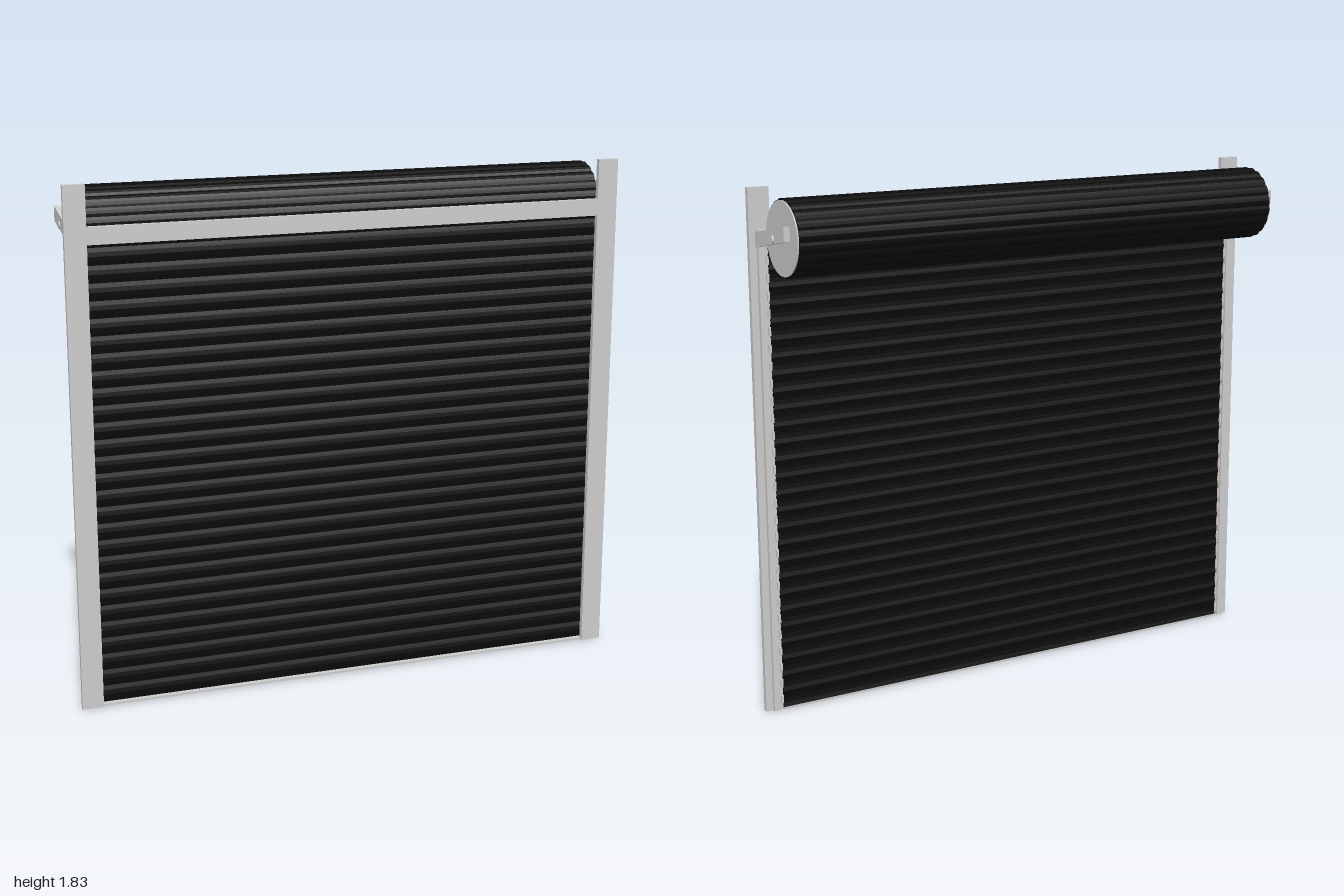
import * as THREE from 'three';

const grey = new THREE.MeshStandardMaterial({ color: 0xcccccc });
const black = new THREE.MeshStandardMaterial({ color: 0x0b0b0b });

const DRUM = { y: 1.676, z: -0.016, r: 0.13 };

// Box given by its minimum and maximum corners
function box(name, [x0, y0, z0], [x1, y1, z1]) {
  const mesh = new THREE.Mesh(new THREE.BoxGeometry(x1 - x0, y1 - y0, z1 - z0), grey);
  mesh.position.set((x0 + x1) / 2, (y0 + y1) / 2, (z0 + z1) / 2);
  mesh.name = name;
  return mesh;
}

// Side profile of [z, y] points, extruded along x from x0 to x1
function extrudeX(name, points, x0, x1, material) {
  const shape = new THREE.Shape(points.map(([z, y]) => new THREE.Vector2(-z, y)));
  const geo = new THREE.ExtrudeGeometry(shape, { depth: x1 - x0, bevelEnabled: false });
  geo.rotateY(Math.PI / 2);
  geo.translate(x0, 0, 0);
  const mesh = new THREE.Mesh(geo, material);
  mesh.name = name;
  return mesh;
}

// Hanging curtain of shallow curved slats
function makeCurtain() {
  const group = new THREE.Group();
  group.name = 'curtain';
  const slats = 28, steps = 4, bottom = 0.008, pitch = (DRUM.y - bottom) / slats;
  const front = [], back = [];
  for (let i = 0; i <= slats * steps; i++) {
    const y = bottom + (i / steps) * pitch;
    const bulge = 0.006 * Math.sin(((i % steps) / steps) * Math.PI);
    front.push([0.121 + bulge, y]);
    back.push([0.116 + bulge, y]);
  }
  group.add(extrudeX('slats', [...front, ...back.reverse()], -0.938, 0.938, black));
  // End locks on every slat
  for (let i = 0; i < slats - 1; i++) {
    const y = bottom + (i + 0.25) * pitch;
    for (const s of [-1, 1]) {
      const lock = box('endLock', [-0.004, y, 0.117], [0.004, y + pitch / 2, 0.127]);
      lock.position.x = s * 0.942;
      group.add(lock);
    }
  }
  return group;
}

// Rolled-up slats around the barrel
function makeRoll() {
  const group = new THREE.Group();
  group.name = 'roll';
  const slats = 20, steps = 4, profile = [];
  for (let i = 0; i < slats * steps; i++) {
    const a = (i / (slats * steps)) * Math.PI * 2;
    const r = DRUM.r - 0.005 + 0.005 * Math.sin(((i % steps) / steps) * Math.PI);
    profile.push([DRUM.z + r * Math.cos(a), DRUM.y + r * Math.sin(a)]);
  }
  group.add(extrudeX('rolledSlats', profile, -0.945, 0.942, black));
  // End discs and axle
  const cylinder = (name, r, length, x) => {
    const mesh = new THREE.Mesh(new THREE.CylinderGeometry(r, r, length, 40), grey);
    mesh.rotation.z = Math.PI / 2;
    mesh.position.set(x, DRUM.y, DRUM.z);
    mesh.name = name;
    group.add(mesh);
  };
  cylinder('endDisc', 0.125, 0.006, -0.947);
  cylinder('endDisc', 0.125, 0.006, 0.944);
  cylinder('axle', 0.013, 1.972, 0);
  return group;
}

export function createModel() {
  const model = new THREE.Group();
  model.name = 'rollerShutter';

  // Posts with guide rails behind them
  for (const s of [-1, 1]) {
    const post = box('post', [-0.0375, 0, 0.129], [0.0375, 1.83, 0.147]);
    post.position.x = s * 0.9625;
    const rail = box('guideRail', [-0.012, 0, 0.116], [0.012, 1.69, 0.129]);
    rail.position.x = s * 0.962;
    model.add(post, rail);
  }

  // Lintel and bottom bar
  model.add(box('lintel', [-0.925, 1.63, 0.129], [0.925, 1.69, 0.147]));
  model.add(box('bottomBar', [-0.938, 0, 0.116], [0.938, 0.008, 0.14]));

  model.add(makeCurtain(), makeRoll());

  // Sloping brackets that carry the axle
  const arm = [[0.13, 1.632], [0.13, 1.682], [-0.104, 1.727], [-0.104, 1.677]];
  model.add(extrudeX('bracket', arm, -0.982, -0.957, grey));
  model.add(extrudeX('bracket', arm, 0.957, 0.979, grey));
  return model;
}
